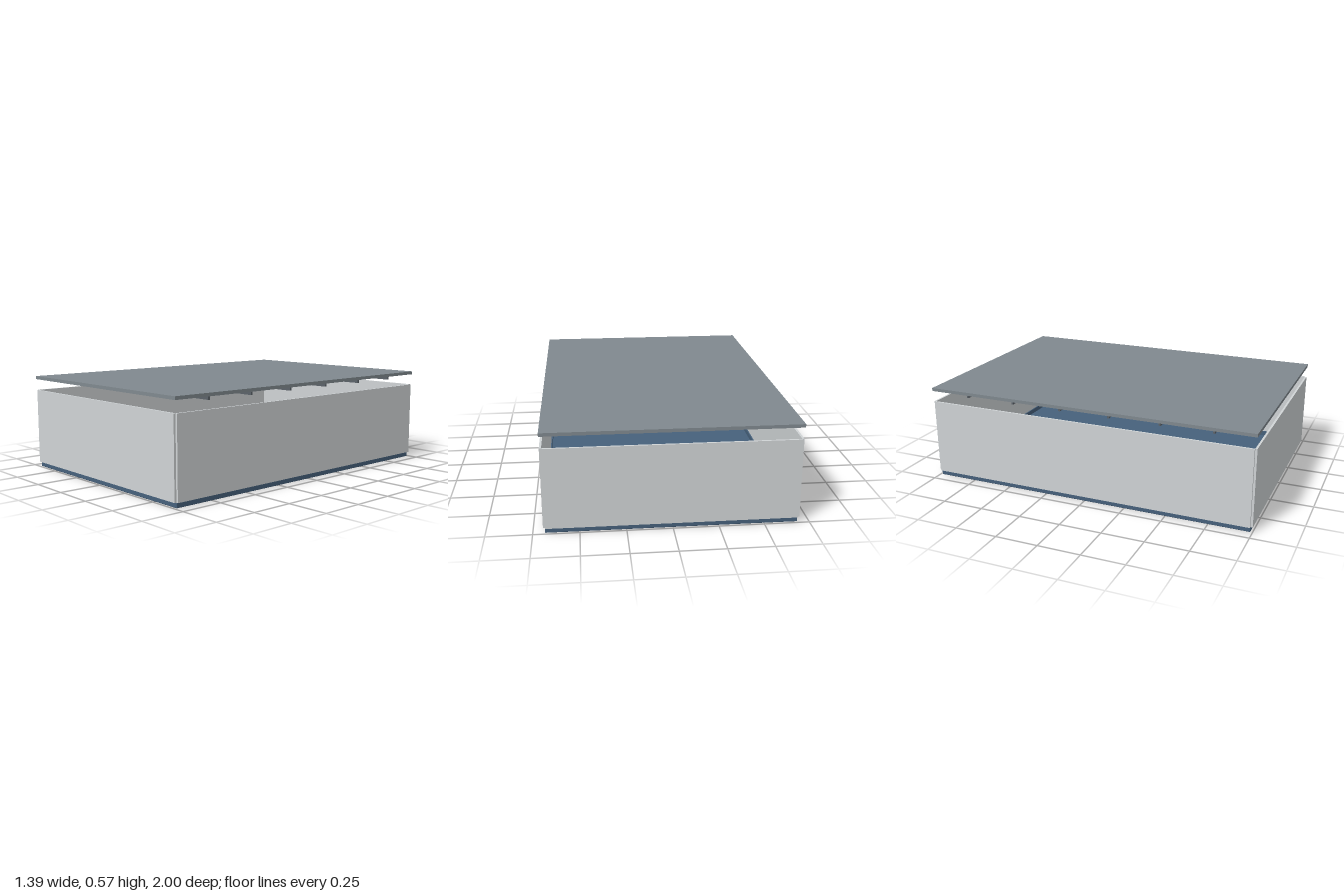
import * as THREE from 'three';
import { RoundedBoxGeometry } from 'three/addons/geometries/RoundedBoxGeometry.js';

const paint = (color) => new THREE.MeshStandardMaterial({ color });

export function createModel() {
  const model = new THREE.Group();
  model.name = 'panelBox';
  const blue = paint(0x46617c), wall = paint(0xd0d4d6), slate = paint(0x80898f), dark = paint(0x5c636a);

  // Box spanning y0..y1, centred on x, z
  const slab = (name, material, w, y0, y1, d, x = 0, z = 0, parent = model) => {
    const mesh = new THREE.Mesh(new THREE.BoxGeometry(w, y1 - y0, d), material);
    mesh.name = name;
    mesh.position.set(x, (y0 + y1) / 2, z);
    parent.add(mesh);
    return mesh;
  };

  // Base plate with softened edges
  const base = new THREE.Mesh(new RoundedBoxGeometry(1.37, 0.03, 1.976, 2, 0.004), blue);
  base.name = 'basePlate';
  base.position.y = 0.015;
  model.add(base);

  // Wall panels, leaving a small notch at each corner, and the base lip inside them
  for (const s of [-1, 1]) {
    slab(s > 0 ? 'frontPanel' : 'backPanel', wall, 1.366, 0.03, 0.485, 0.012, 0, s * 0.994);
    slab(s > 0 ? 'leftPanel' : 'rightPanel', wall, 0.012, 0.03, 0.485, 1.976, s * 0.689, 0);
    slab('baseLipAcross', blue, 1.36, 0.028, 0.06, 0.008, 0, s * 0.982);
    slab('baseLipAlong', blue, 0.008, 0.028, 0.06, 1.956, s * 0.678, 0);
  }

  // Raised lid
  const lid = new THREE.Group();
  lid.name = 'lid';
  model.add(lid);
  slab('lidPlate', slate, 1.39, 0.552, 0.571, 2, 0, 0, lid);

  // Cross ribs under the lid
  for (let i = 0; i < 6; i++) {
    slab('lidRib', dark, 1.35, 0.531, 0.552, 0.012, 0, (i - 2.5) * 0.305, lid);
  }

  // Thin pads hanging under the lid between the ribs
  for (const x of [-0.4, 0, 0.395]) {
    for (const z of [0.61, 0.207, -0.203, -0.605]) {
      slab('lidPad', dark, 0.15, 0.524, 0.528, 0.03, x, z, lid);
    }
  }
  return model;
}
